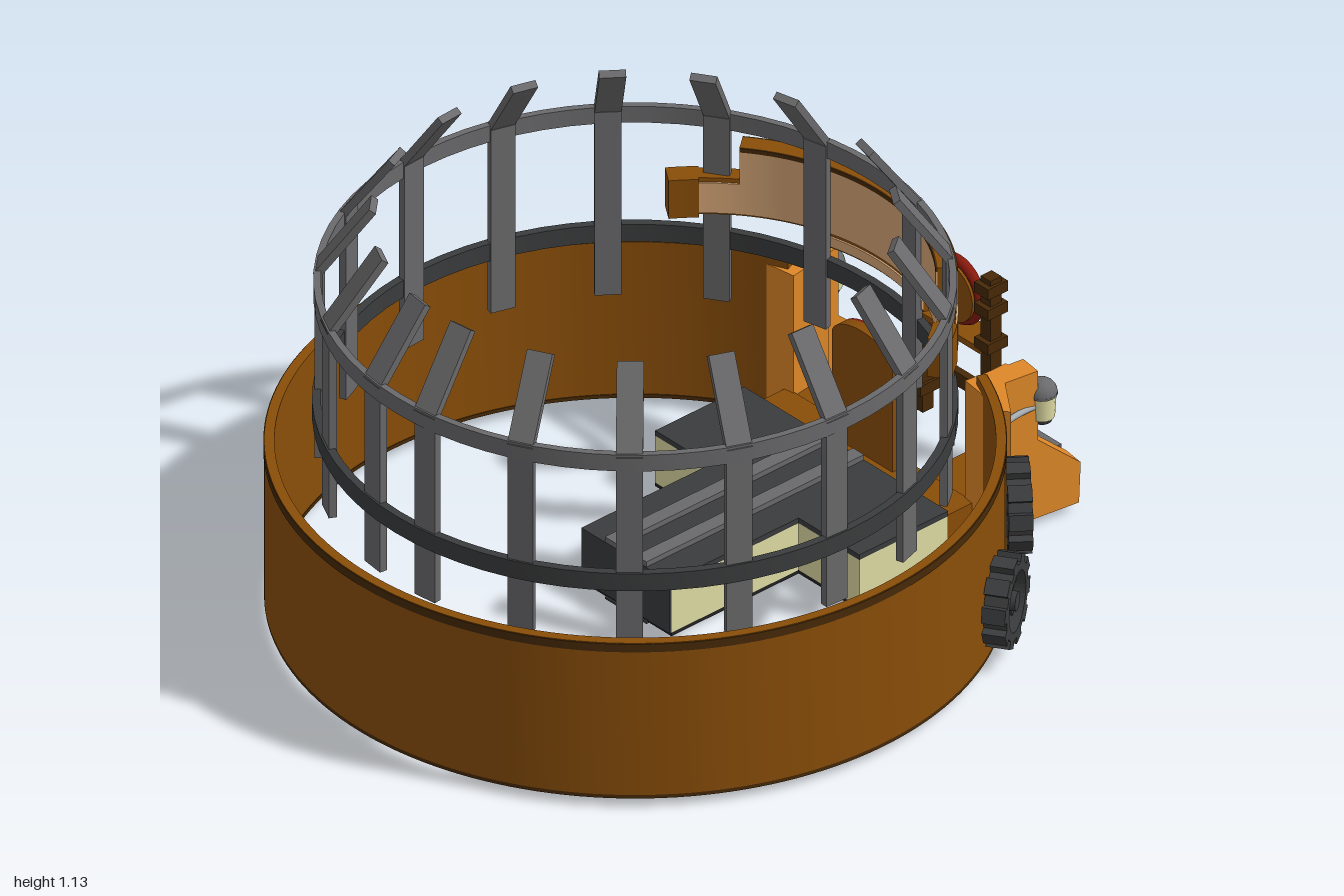
import * as THREE from 'three';
import { toCreasedNormals } from 'three/addons/utils/BufferGeometryUtils.js';

const ZC = 0.1; // centre of the round wall and cage
const DEG = Math.PI / 180;

export function createModel() {
  const mat = (name, color) => {
    const m = new THREE.MeshStandardMaterial({ color });
    m.name = name;
    return m;
  };
  const brown = mat('brown', 0x8a4e08), darkBrown = mat('darkBrown', 0x482a08);
  const orange = mat('orange', 0xdf8828), peach = mat('peach', 0xd8a878);
  const grey = mat('grey', 0x6a6a6c), darkGrey = mat('darkGrey', 0x3b3c3d);
  const cream = mat('cream', 0xe0dca4), red = mat('red', 0x8a1a0e);
  const black = mat('black', 0x222222), lightGrey = mat('lightGrey', 0xa4abb2);

  const model = new THREE.Group();
  const add = (name, geo, m, x = 0, y = 0, z = 0, parent = model) => {
    const mesh = new THREE.Mesh(geo, m);
    mesh.name = name;
    mesh.position.set(x, y, z);
    parent.add(mesh);
    return mesh;
  };
  // box given by its limits
  const box = (name, m, x0, x1, y0, y1, z0, z1, parent) =>
    add(name, new THREE.BoxGeometry(x1 - x0, y1 - y0, z1 - z0), m,
      (x0 + x1) / 2, (y0 + y1) / 2, (z0 + z1) / 2, parent);
  // plan outline (shape y = -z) raised from y0 to y1
  const raise = (shape, y0, y1) => new THREE.ExtrudeGeometry(shape,
    { depth: y1 - y0, bevelEnabled: false, curveSegments: 72 }).rotateX(-Math.PI / 2);
  // curved block; angles in degrees from the back (-z) towards +x
  const arc = (name, m, r0, r1, a0, a1, y0, y1, z) => {
    const t0 = (90 - a1) * DEG, t1 = (90 - a0) * DEG;
    const s = new THREE.Shape();
    s.absarc(0, 0, r1, t0, t1, false);
    s.absarc(0, 0, r0, t1, t0, true);
    return add(name, toCreasedNormals(raise(s, y0, y1), 0.5), m, 0, y0, z);
  };
  // closed band of rectangular section
  const band = (name, m, r0, r1, y0, y1) => {
    const p = [[r1, y0], [r1, y1], [r0, y1], [r0, y0], [r1, y0]].map(([x, y]) => new THREE.Vector2(x, y));
    add(name, toCreasedNormals(new THREE.LatheGeometry(p, 72), 0.5), m, 0, 0, ZC);
  };

  // round wall, open at the back
  arc('wall', brown, 0.875, 0.9, 23, 337, 0.035, 0.475, ZC);
  arc('wallRim', darkBrown, 0.895, 0.902, 23, 337, 0.45, 0.473, ZC);
  arc('wallBase', darkBrown, 0.873, 0.9, 23, 337, 0.025, 0.035, ZC);
  arc('wallPlate', brown, 0.868, 0.876, 200, 206, 0.22, 0.45, ZC);

  // cage: bands and bars with inward leaning tips
  band('upperBand', grey, 0.763, 0.781, 0.895, 0.942);
  band('lowerBand', darkGrey, 0.763, 0.784, 0.55, 0.6);
  for (let i = 0; i < 9; i++) for (const side of [1, -1]) {
    const bar = new THREE.Group();
    bar.name = 'cageBar';
    bar.position.z = ZC;
    bar.rotation.y = side * (7 + 20 * i) * DEG;
    add('upright', new THREE.BoxGeometry(0.066, 0.53, 0.02), grey, 0, 0.665, 0.768, bar);
    const tip = add('leaningTip', new THREE.BoxGeometry(0.066, 0.236, 0.02), grey, 0, 1.024, 0.705, bar);
    tip.rotation.x = -0.617;
    model.add(bar);
  }

  // curved signboard behind the cage
  const SZ = -0.12;
  const board = (a0, a1, y0, y1) => {
    arc('boardCore', brown, 0.57, 0.615, a0, a1, y0, y1, SZ);
    arc('boardFace', peach, 0.615, 0.62, a0, a1, y0 + 0.006, y1 - 0.012, SZ);
    arc('boardInnerFace', peach, 0.565, 0.57, a0, a1, y0 + 0.006, y1 - 0.012, SZ);
  };
  board(-39, 39, 0.66, 0.858);
  board(-22, 22, 0.622, 0.668);
  for (const r of [0.565, 0.615]) arc('boardTrim', darkBrown, r, r + 0.005, -39, 39, 0.846, 0.858, SZ);
  for (const s of [1, -1]) {
    const side = (a, b) => (s > 0 ? [a, b] : [-b, -a]);
    board(...side(39, 49), 0.66, 0.765);
    arc('boardEnd', brown, 0.562, 0.622, ...side(49, 56.5), 0.655, 0.765, SZ);
  }

  // T-shaped platform
  const deck = (x0, x1, z0, z1) => {
    box('platformBase', black, x0, x1, 0.004, 0.014, z0, z1);
    box('platformSides', cream, x0, x1, 0.014, 0.15, z0, z1);
    box('platformTop', darkGrey, x0, x1, 0.15, 0.165, z0, z1);
  };
  deck(-0.35, 0.39, -0.57, -0.28);
  deck(-0.15, 0.17, -0.28, 0.135);
  box('platformEnd', darkGrey, -0.15, 0.17, 0.014, 0.165, 0.135, 0.141);
  for (const x of [-0.045, 0.065]) {
    box('platformRail', grey, x - 0.02, x + 0.02, 0.165, 0.18, -0.57, 0.14);
    box('underRail', darkGrey, x - 0.02, x + 0.02, 0, 0.006, -0.57, 0.14);
  }

  // threshold between the pillars
  box('threshold', brown, -0.34, 0.34, 0.03, 0.11, -0.7, -0.575);

  // gate pillars, consoles and lamps, mirrored
  for (const s of [1, -1]) {
    const span = (a, b) => (s > 0 ? [a, b] : [-b, -a]);
    const pillar = new THREE.Group();
    pillar.name = s > 0 ? 'leftPillar' : 'rightPillar';
    model.add(pillar);
    // side outline in (-z, y), extruded across x
    const outline = new THREE.Shape([[0.69, 0.025], [0.98, 0.025], [0.985, 0.14], [0.86, 0.25], [0.86, 0.45], [0.69, 0.45]]
      .map(([z, y]) => new THREE.Vector2(z - 0.85, y)));
    const bracket = new THREE.ExtrudeGeometry(outline, { depth: 0.064, bevelEnabled: false });
    bracket.translate(0, 0, -0.032).rotateY(Math.PI / 2);
    add('bracket', bracket, orange, s * 0.365, 0, -0.85, pillar).rotation.y = -s * 0.14;
    // wedge flaring out to the wall
    const flare = new THREE.Shape([[0.32, 0.82], [0.37, 0.82], [0.385, 0.76], [0.49, 0.685], [0.46, 0.665], [0.32, 0.7]]
      .map(([x, z]) => new THREE.Vector2(s * x, z)));
    add('bracketFlare', raise(flare, 0.025, 0.45), orange, 0, 0.025, 0, pillar);
    box('sill', brown, ...span(0.15, 0.34), 0.03, 0.1, -0.9, -0.69, pillar);

    // console with a red panel, grey edging and knobs
    const [c0, c1] = span(0.145, 0.345);
    box('console', brown, c0, c1, 0.03, 0.145, -0.968, -0.88, pillar);
    box('consolePanel', red, c0, c1, 0.032, 0.145, -0.976, -0.968, pillar);
    box('consoleLid', grey, c0, c1, 0.145, 0.158, -0.98, -0.9, pillar);
    for (const [x, y] of [[0.185, 0.105], [0.245, 0.065], [0.295, 0.105]]) {
      const knob = add('knob', new THREE.CylinderGeometry(0.018, 0.018, 0.016, 12), black, s * x, y, -0.983, pillar);
      knob.rotation.x = Math.PI / 2;
    }

    // lamp with domed cap and feed pipe
    const lx = s * 0.385, lz = -0.88;
    add('lampGlass', new THREE.CylinderGeometry(0.036, 0.032, 0.07, 16), cream, lx, 0.34, lz, pillar);
    add('lampCap', new THREE.SphereGeometry(0.039, 16, 8, 0, Math.PI * 2, 0, Math.PI / 2), grey, lx, 0.372, lz, pillar);
    add('lampCapBase', new THREE.CylinderGeometry(0.039, 0.039, 0.006, 16), grey, lx, 0.372, lz, pillar);
    add('lampFoot', new THREE.CylinderGeometry(0.03, 0.025, 0.015, 16), darkGrey, lx, 0.3, lz, pillar);
    const pipe = new THREE.CatmullRomCurve3([[0.39, 0.345, -0.86], [0.395, 0.35, -0.8], [0.41, 0.355, -0.72]]
      .map(([x, y, z]) => new THREE.Vector3(s * x, y, z)));
    add('lampPipe', new THREE.TubeGeometry(pipe, 10, 0.008, 8), lightGrey, 0, 0, 0, pillar);

    // gate post with collars
    box('gatePost', darkBrown, ...span(0.105, 0.14), 0.05, 0.55, -0.968, -0.932);
    for (const y of [0.12, 0.23, 0.36, 0.46, 0.52])
      box('postCollar', darkBrown, ...span(0.097, 0.148), y - 0.015, y + 0.015, -0.982, -0.918);
  }
  box('gateRail', darkBrown, -0.11, 0.11, 0.18, 0.22, -0.96, -0.94);
  box('gateShelf', brown, -0.115, 0.115, 0.333, 0.35, -1, -0.92);

  // valve wheel on the gate
  const valve = new THREE.Group();
  valve.name = 'valveWheel';
  valve.position.set(0, 0.455, -0.95);
  add('valveRim', new THREE.TorusGeometry(0.083, 0.014, 8, 28), red, 0, 0, 0, valve);
  for (let i = 0; i < 3; i++)
    add('valveSpoke', new THREE.BoxGeometry(0.16, 0.016, 0.012), red, 0, 0, 0, valve).rotation.z = i * Math.PI / 3;
  add('valveHub', new THREE.CylinderGeometry(0.025, 0.025, 0.05, 14), red, 0, 0, -0.01, valve).rotation.x = Math.PI / 2;
  add('valveBacking', new THREE.CylinderGeometry(0.082, 0.082, 0.008, 28), brown, 0, 0, 0.02, valve).rotation.x = Math.PI / 2;
  model.add(valve);

  // arched door behind the gate
  const arch = new THREE.Shape();
  arch.moveTo(-0.11, 0.11);
  arch.lineTo(0.11, 0.11);
  arch.lineTo(0.11, 0.41);
  arch.absellipse(0, 0.41, 0.11, 0.055, 0, Math.PI, false);
  const archGeo = (d) => new THREE.ExtrudeGeometry(arch, { depth: d, bevelEnabled: false, curveSegments: 14 });
  add('doorBack', archGeo(0.008), red, 0, 0, -0.678);
  add('doorFront', archGeo(0.03), brown, 0, 0, -0.67);
  box('doorBar', grey, -0.1, 0.1, 0.29, 0.32, -0.685, -0.678);

  // toothed wheels hung on the wall
  const teeth = new THREE.Shape();
  const N = 10;
  for (let i = 0; i < N; i++)
    [[0, 0.1], [0.4, 0.1], [0.42, 0.12], [0.98, 0.12]].forEach(([f, r], k) => {
      const a = (i + f) / N * Math.PI * 2;
      teeth[i + k ? 'lineTo' : 'moveTo'](r * Math.cos(a), r * Math.sin(a));
    });
  teeth.holes.push(new THREE.Path().absarc(0, 0, 0.078, 0, Math.PI * 2, true));
  const rimGeo = new THREE.ExtrudeGeometry(teeth, { depth: 0.06, bevelEnabled: false, curveSegments: 20 });
  for (const [a, y] of [[37.6, 0.24], [57, 0.17], [-34.2, 0.25], [-50.6, 0.17]]) {
    const w = new THREE.Group();
    w.name = 'toothedWheel';
    w.position.set(0.9 * Math.sin(a * DEG), y, ZC - 0.9 * Math.cos(a * DEG));
    w.rotation.y = Math.PI - a * DEG;
    add('wheelRim', rimGeo, darkGrey, 0, 0, 0, w);
    for (let i = 0; i < 5; i++) {
      const t = i * Math.PI * 0.4 + 0.3;
      add('wheelSpoke', new THREE.BoxGeometry(0.075, 0.018, 0.025), darkGrey,
        0.042 * Math.cos(t), 0.042 * Math.sin(t), 0.025, w).rotation.z = t;
    }
    add('wheelHub', new THREE.CylinderGeometry(0.025, 0.025, 0.06, 14), darkGrey, 0, 0, 0.03, w).rotation.x = Math.PI / 2;
    model.add(w);
  }
  return model;
}
